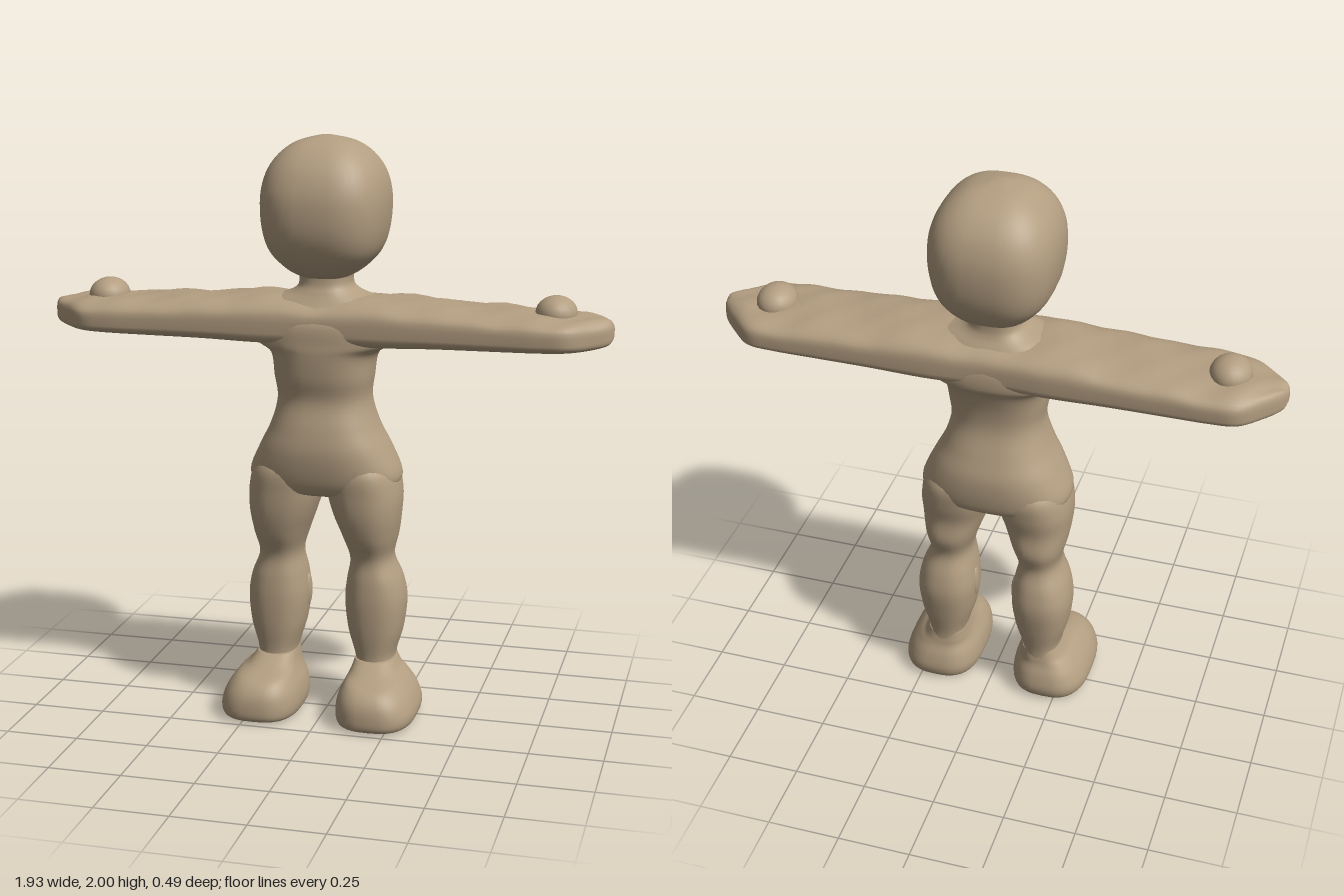
import * as THREE from 'three';

const clay = new THREE.MeshStandardMaterial({ color: 0xb39e81 });
clay.name = 'clay';

const AROUND = 40, STEPS = 5;

// Catmull-Rom blend of two neighbouring rows, so a few sections give a smooth skin
function smoothRows(rows) {
  const out = [], last = rows.length - 1;
  for (let i = 0; i < last; i++) {
    const a = rows[Math.max(i - 1, 0)], b = rows[i], c = rows[i + 1], d = rows[Math.min(i + 2, last)];
    for (let s = 0; s < STEPS; s++) {
      const t = s / STEPS;
      out.push(b.map((_, k) => 0.5 * (2 * b[k] + (c[k] - a[k]) * t +
        (2 * a[k] - 5 * b[k] + 4 * c[k] - d[k]) * t * t +
        (3 * b[k] - a[k] - 3 * c[k] + d[k]) * t * t * t)));
    }
  }
  out.push(rows[last]);
  return out;
}

// Skin over rounded sections; row = [t, aMin, aMax, bMin, bMax]
function loft(name, rows, { place = (t, a, b) => [a, t, b], power = 2.4, topPower = power, ripple = 0 } = {}) {
  const pos = [], idx = [], rings = smoothRows(rows);
  rings.forEach(([t, a0, a1, b0, b1]) => {
    for (let j = 0; j < AROUND; j++) {
      const ang = (j / AROUND) * Math.PI * 2, c = Math.cos(ang), s = Math.sin(ang);
      const e = 2 / (s > 0 ? topPower : power);
      const a = Math.sign(c) * Math.abs(c) ** e, b = Math.sign(s) * Math.abs(s) ** e;
      const y = (b0 + b1) / 2 + b * (b1 - b0) / 2;
      const bump = ripple * Math.max(b, 0) * Math.sin(t * 31 + a * 2) * Math.cos(a * 4 + t * 9);
      pos.push(...place(t, (a0 + a1) / 2 + a * (a1 - a0) / 2, y + bump));
    }
  });
  for (let i = 0; i < rings.length - 1; i++) {
    for (let j = 0; j < AROUND; j++) {
      const k = (j + 1) % AROUND, p = i * AROUND, q = p + AROUND;
      idx.push(p + j, q + j, p + k, p + k, q + j, q + k);
    }
  }
  // end caps
  [[rings[0], 0], [rings[rings.length - 1], (rings.length - 1) * AROUND]].forEach(([r, start], end) => {
    const centre = pos.length / 3;
    pos.push(...place(r[0], (r[1] + r[2]) / 2, (r[3] + r[4]) / 2));
    for (let j = 0; j < AROUND; j++) {
      const p = start + j, q = start + (j + 1) % AROUND;
      idx.push(centre, end ? q : p, end ? p : q);
    }
  });
  const geo = new THREE.BufferGeometry();
  geo.setAttribute('position', new THREE.Float32BufferAttribute(pos, 3));
  geo.setIndex(idx);
  geo.computeVertexNormals();
  const mesh = new THREE.Mesh(geo, clay);
  mesh.name = name;
  return mesh;
}

function blob(name, x, y, z, sx, sy, sz) {
  const mesh = new THREE.Mesh(new THREE.SphereGeometry(1, 20, 14), clay);
  mesh.name = name;
  mesh.position.set(x, y, z);
  mesh.scale.set(sx, sy, sz);
  return mesh;
}

const sym = (y, w, z0, z1) => [y, -w, w, z0, z1];
const mirror = ([t, a0, a1, b0, b1]) => [t, -a1, -a0, b0, b1];

export function createModel() {
  const body = new THREE.Group();
  body.name = 'figure';
  body.position.x = -0.008;

  // Large rounded head
  body.add(loft('head', [
    sym(1.53, 0.07, -0.11, 0.07), sym(1.56, 0.125, -0.17, 0.125), sym(1.62, 0.18, -0.218, 0.18),
    sym(1.7, 0.205, -0.243, 0.208), sym(1.8, 0.21, -0.246, 0.21), sym(1.88, 0.192, -0.222, 0.185),
    sym(1.94, 0.152, -0.175, 0.142), sym(1.98, 0.095, -0.11, 0.085), sym(2.0, 0.02, -0.03, 0.01),
  ], { power: 2.8 }));

  // Neck, chest, waist and hips
  body.add(loft('torso', [
    sym(0.79, 0.16, -0.1, 0.09), sym(0.81, 0.235, -0.165, 0.13), sym(0.86, 0.262, -0.185, 0.152),
    sym(0.95, 0.225, -0.188, 0.165), sym(1.03, 0.185, -0.165, 0.155), sym(1.12, 0.16, -0.137, 0.135),
    sym(1.2, 0.168, -0.14, 0.15), sym(1.28, 0.182, -0.162, 0.158), sym(1.32, 0.24, -0.182, 0.158),
    sym(1.39, 0.25, -0.178, 0.152), sym(1.45, 0.2, -0.14, 0.11), sym(1.485, 0.115, -0.12, 0.09),
    sym(1.52, 0.088, -0.115, 0.078), sym(1.6, 0.1, -0.12, 0.08),
  ], { power: 2.5 }));

  // Both arms in one outstretched, flat-bottomed bar with pointed hands
  const half = [
    [0, -0.18, 0.15, 1.315, 1.465], [0.2, -0.188, 0.153, 1.312, 1.472], [0.4, -0.188, 0.153, 1.318, 1.458],
    [0.6, -0.188, 0.153, 1.32, 1.448], [0.74, -0.188, 0.153, 1.322, 1.44], [0.83, -0.178, 0.14, 1.325, 1.437],
    [0.9, -0.115, 0.08, 1.33, 1.43], [0.95, -0.06, 0.03, 1.342, 1.42], [0.965, -0.03, 0, 1.365, 1.4],
  ];
  const arms = [...half.slice(1).reverse().map(([t, ...r]) => [-t, ...r]), ...half];
  body.add(loft('arms', arms, { place: (t, a, b) => [t, b, a], power: 5, topPower: 2.6, ripple: 0.006 }));

  // Left leg and foot
  const leg = [
    [0.14, 0.1, 0.27, -0.13, 0.07], [0.2, 0.108, 0.243, -0.13, 0.062], [0.3, 0.08, 0.268, -0.15, 0.075],
    [0.4, 0.068, 0.278, -0.165, 0.082], [0.48, 0.075, 0.265, -0.155, 0.08], [0.56, 0.088, 0.235, -0.133, 0.075],
    [0.64, 0.065, 0.25, -0.155, 0.11], [0.72, 0.035, 0.262, -0.152, 0.132], [0.8, 0.012, 0.264, -0.168, 0.14],
    [0.88, 0.01, 0.245, -0.17, 0.14], [0.94, 0.03, 0.2, -0.12, 0.1],
  ];
  const foot = [
    [0, 0.1, 0.3, -0.11, 0.2], [0.012, 0.072, 0.335, -0.145, 0.238], [0.05, 0.064, 0.343, -0.158, 0.245],
    [0.1, 0.072, 0.325, -0.15, 0.235], [0.14, 0.09, 0.295, -0.135, 0.2], [0.165, 0.1, 0.265, -0.13, 0.125],
    [0.2, 0.108, 0.243, -0.125, 0.06],
  ];

  for (const side of [1, -1]) {
    const label = side > 0 ? 'left' : 'right';
    const rows = (r) => (side > 0 ? r : r.map(mirror));
    body.add(loft(label + 'Leg', rows(leg)));
    body.add(loft(label + 'Foot', rows(foot), { power: 2.8 }));
    // Thumb lump on top of the hand
    body.add(blob(label + 'Thumb', side * 0.775, 1.435, -0.02, 0.07, 0.06, 0.08));
    // Small ridge on the inner calf
    body.add(blob(label + 'CalfRidge', side * 0.075, 0.41, -0.05, 0.014, 0.06, 0.025));
  }

  const model = new THREE.Group();
  model.name = 'model';
  model.add(body);
  return model;
}
